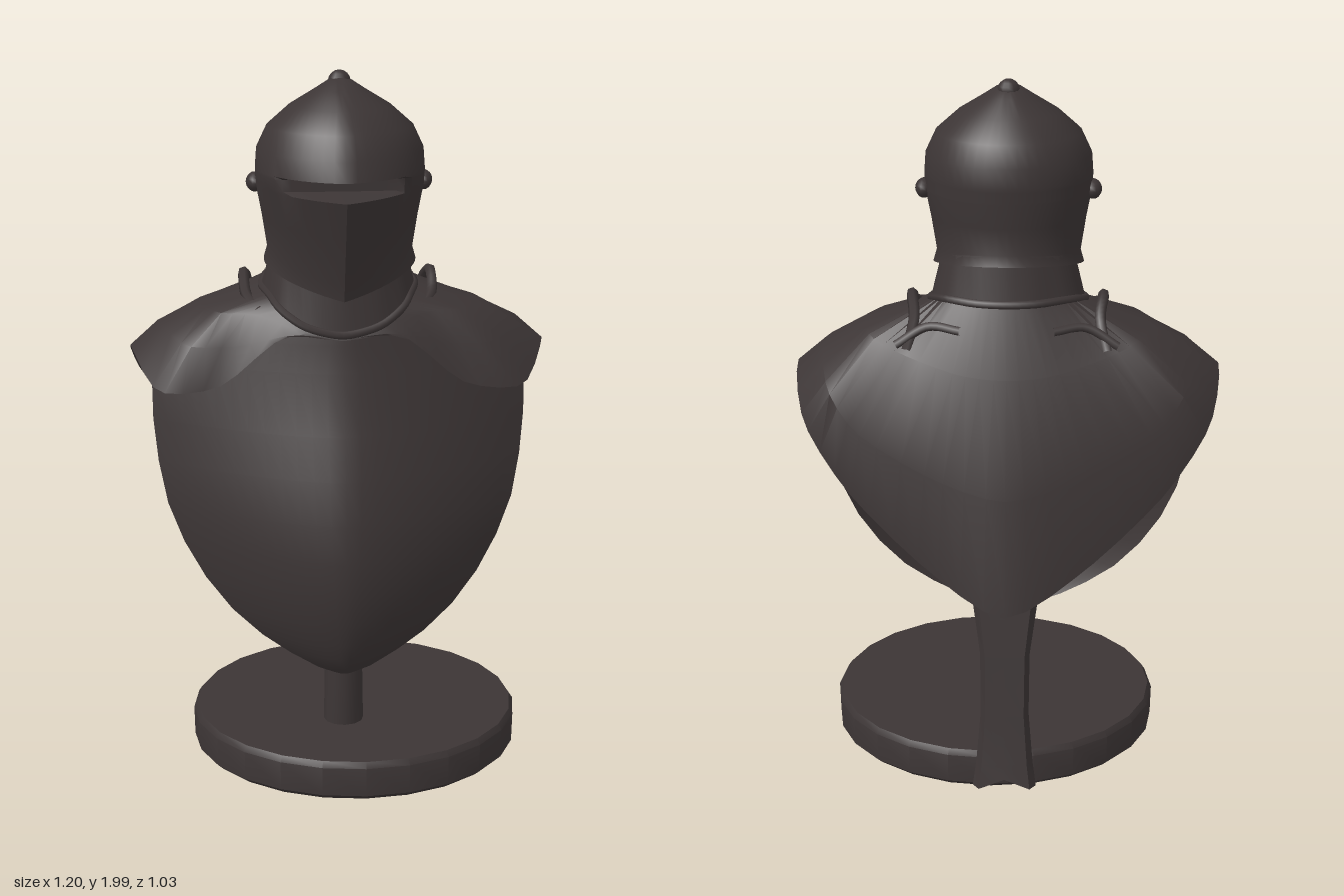
import * as THREE from 'three';
import { toCreasedNormals } from 'three/addons/utils/BufferGeometryUtils.js';

const V = (x, y, z) => new THREE.Vector3(x, y, z);

// Skin a surface across cross-sections that all have the same point count.
function loft(rings, crease = 0.6) {
  const n = rings[0].length, index = [];
  for (let i = 0; i < rings.length - 1; i++) {
    for (let j = 0; j < n - 1; j++) {
      const a = i * n + j, b = a + 1, c = a + n, d = c + 1;
      index.push(a, b, c, b, d, c);
    }
  }
  const g = new THREE.BufferGeometry().setFromPoints(rings.flat());
  g.setIndex(index);
  return toCreasedNormals(g, crease);
}

// Full mirrored loop from half a cross-section (front centre to back centre).
function mirroredLoop(half, steps = 28) {
  const pts = half.map(p => V(...p));
  const mirror = pts.slice(1, -1).reverse().map(p => V(-p.x, p.y, p.z));
  return new THREE.CatmullRomCurve3([...pts, ...mirror], true, 'catmullrom', 0.4).getPoints(steps * 2);
}

// Helmet section: half width, back z, front z, back y, front y, keel sharpness, z of a flat cut.
function helmetRing([w, zb, zf, yb, yf, keel, cut = 1]) {
  const ring = [], zc = 0.05, n = 48;
  for (let i = 0; i <= n; i++) {
    const a = (i / n) * Math.PI * 2, c = Math.cos(a), s = Math.sin(a);
    const front = c * (1 - keel) + (1 - Math.abs(s)) * keel;
    const z = c > 0 ? zc + (zf - zc) * front : zc + (zc - zb) * c;
    const t = c > 0 ? 0.35 + 0.65 * front : 0.35 * (1 + c);
    ring.push(V(w * s, yb + (yf - yb) * t, Math.min(z, cut)));
  }
  return ring;
}

export function createModel() {
  const model = new THREE.Group();
  const iron = new THREE.MeshStandardMaterial({ color: 0x3c3535, side: THREE.DoubleSide });
  iron.name = 'dark iron';
  const add = (name, geometry, x = 0, y = 0, z = 0) => {
    const mesh = new THREE.Mesh(geometry, iron);
    mesh.name = name;
    mesh.position.set(x, y, z);
    model.add(mesh);
    return mesh;
  };

  // Round plinth with softened edges, and the post
  const plinth = new THREE.LatheGeometry([
    [0, 0.005], [0.46, 0.005], [0.477, 0.02], [0.479, 0.105], [0.468, 0.122], [0, 0.122],
  ].map(p => new THREE.Vector2(...p)), 24);
  plinth.scale(1, 1, 0.955);
  add('base', toCreasedNormals(plinth, 0.6), 0.042, 0, 0.06);
  add('post', toCreasedNormals(new THREE.CylinderGeometry(0.052, 0.058, 0.34, 12), 0.6), 0, 0.27, 0.2);

  // Keeled breastplate: y, half width, z on the keel, z at the side edge
  const breast = [
    [1.31, 0.27, 0.178, 0.1], [1.25, 0.42, 0.19, 0.05], [1.17, 0.54, 0.205, 0.01], [1.0, 0.538, 0.26, 0.03],
    [0.88, 0.525, 0.3, 0.055], [0.76, 0.5, 0.33, 0.085], [0.65, 0.455, 0.345, 0.11], [0.55, 0.395, 0.343, 0.14],
    [0.46, 0.32, 0.33, 0.17], [0.39, 0.235, 0.31, 0.2], [0.34, 0.155, 0.292, 0.22], [0.3, 0.075, 0.27, 0.24],
    [0.28, 0.01, 0.252, 0.25],
  ].map(([y, w, zc, ze]) => {
    const row = [];
    for (let i = 0; i <= 24; i++) {
      const u = i / 12 - 1;
      row.push(V(u * w, y, ze + (zc - ze) * (1 - Math.abs(u) ** 1.5)));
    }
    return row;
  }).reverse();
  add('breastplate', loft(breast, 0.9));

  // Neck, shoulder guards and the pointed back cape as one draped skin
  const neckTop = [[0, 1.46, 0.17], [0.1, 1.46, 0.15], [0.15, 1.47, 0.1], [0.18, 1.48, 0.05], [0.19, 1.5, 0],
    [0.175, 1.52, -0.06], [0.14, 1.53, -0.11], [0.08, 1.54, -0.15], [0, 1.54, -0.165]];
  const neckBase = [[0, 1.28, 0.19], [0.1, 1.3, 0.175], [0.17, 1.34, 0.13], [0.2, 1.37, 0.07], [0.22, 1.38, -0.02],
    [0.2, 1.4, -0.09], [0.16, 1.41, -0.14], [0.08, 1.41, -0.18], [0, 1.41, -0.19]];
  const shoulder = [[0, 1.275, 0.192], [0.12, 1.29, 0.178], [0.24, 1.325, 0.12], [0.35, 1.325, 0.08], [0.4, 1.33, -0.05],
    [0.38, 1.31, -0.17], [0.28, 1.27, -0.22], [0.13, 1.23, -0.265], [0, 1.22, -0.28]];
  const guard = [[0, 1.27, 0.194], [0.14, 1.28, 0.18], [0.3, 1.24, 0.14], [0.44, 1.24, 0.12], [0.52, 1.27, -0.06],
    [0.5, 1.18, -0.24], [0.41, 1.06, -0.29], [0.2, 0.95, -0.345], [0, 0.9, -0.38]];
  const rim = [[0, 1.265, 0.196], [0.17, 1.27, 0.175], [0.345, 1.13, 0.16], [0.52, 1.11, 0.13], [0.6, 1.2, -0.05],
    [0.57, 1.07, -0.22], [0.44, 0.88, -0.287], [0.22, 0.68, -0.355], [0, 0.57, -0.435]];
  const loops = half => half.map(h => mirroredLoop(h));
  add('neck', loft(loops([neckBase, neckTop])));
  add('cape', loft(loops([rim, guard, shoulder, neckBase])));
  const collar = new THREE.CatmullRomCurve3(mirroredLoop(neckBase, 14).slice(0, -1), true);
  add('collarRoll', new THREE.TubeGeometry(collar, 64, 0.012, 6, true));

  // Shoulder straps and their buckles
  for (const s of [-1, 1]) {
    const strap = new THREE.CatmullRomCurve3([
      V(s * 0.23, 1.33, 0.1), V(s * 0.265, 1.36, 0.02), V(s * 0.27, 1.405, -0.07),
      V(s * 0.26, 1.36, -0.15), V(s * 0.28, 1.28, -0.205),
    ]);
    add('shoulderStrap', new THREE.TubeGeometry(strap, 24, 0.016, 6));
    const buckle = new THREE.CatmullRomCurve3([
      V(s * 0.13, 1.34, -0.21), V(s * 0.22, 1.345, -0.185), V(s * 0.31, 1.295, -0.2),
    ]);
    add('buckle', new THREE.TubeGeometry(buckle, 12, 0.013, 6));
  }

  // Channelled tail strip with a notched end, hanging from the point of the cape
  const tail = [[0.07, 0.09, -0.512], [0.14, 0.08, -0.5], [0.28, 0.068, -0.47], [0.45, 0.07, -0.44], [0.66, 0.1, -0.4]]
    .map(([y, w, z], r) => [1, 0.8, 0, -0.8, -1].map(u =>
      V(u * w, y + (r === 0 && u === 0 ? 0.03 : 0), z + (Math.abs(u) === 1 ? 0.025 : 0))));
  add('tailStrip', loft(tail));

  // Helmet with pointed visor, sunken eye slit and keeled dome
  const helmet = [
    [0.195, -0.15, 0.21, 1.515, 1.4, 0.5], [0.215, -0.178, 0.23, 1.515, 1.385, 0.5],
    [0.205, -0.165, 0.24, 1.545, 1.43, 0.5], [0.22, -0.168, 0.29, 1.62, 1.57, 0.45],
    [0.236, -0.175, 0.33, 1.69, 1.68, 0.4], [0.236, -0.175, 0.325, 1.695, 1.69, 0.35, 0.2],
    [0.238, -0.177, 0.305, 1.725, 1.725, 0.15, 0.2], [0.238, -0.177, 0.3, 1.735, 1.73, 0.15],
    [0.234, -0.172, 0.283, 1.79, 1.785, 0.15], [0.205, -0.145, 0.25, 1.85, 1.85, 0.15],
    [0.143, -0.095, 0.195, 1.905, 1.905, 0.15], [0.07, -0.03, 0.125, 1.95, 1.95, 0.15],
    [0.035, 0.0, 0.07, 1.972, 1.975, 0], [0.001, 0.029, 0.052, 1.98, 1.98, 0],
  ].map(helmetRing);
  add('helmet', loft(helmet, 0.7));
  add('crestKnob', new THREE.SphereGeometry(0.032, 12, 8), 0, 1.967, 0.025);

  // Visor hinges
  for (const s of [-1, 1]) {
    const hinge = add('visorHinge', new THREE.SphereGeometry(0.028, 10, 8), s * 0.238, 1.688, 0.025);
    hinge.scale.set(0.9, 1, 1.4);
  }
  return model;
}
